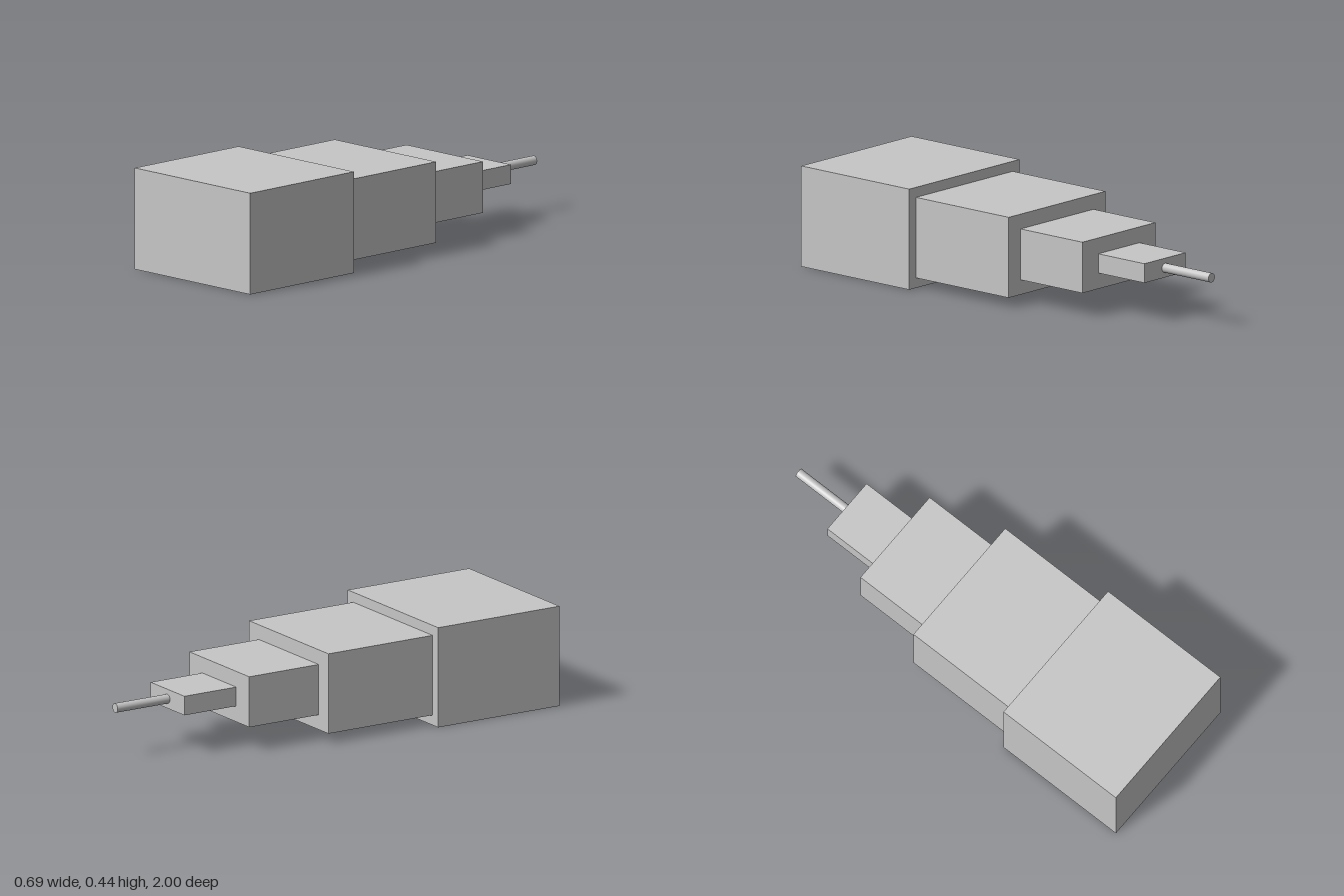
import * as THREE from 'three';

export function createModel() {
  const model = new THREE.Group();
  model.name = 'steppedBody';
  const grey = new THREE.MeshStandardMaterial({ color: 0xc6c6c6 });
  grey.name = 'lightGrey';
  const axisY = 0.2175;

  const add = (name, geometry, front, back) => {
    const mesh = new THREE.Mesh(geometry, grey);
    mesh.name = name;
    mesh.position.set(0, axisY, (front + back) / 2);
    model.add(mesh);
  };

  // Four blocks stepping down towards the back: name, width, height, front z, back z
  const blocks = [
    ['baseBlock', 0.695, 0.435, 1, 0.392],
    ['secondBlock', 0.61, 0.348, 0.392, -0.13],
    ['thirdBlock', 0.46, 0.22, -0.13, -0.478],
    ['endBlock', 0.26, 0.083, -0.478, -0.738],
  ];
  for (const [name, width, height, front, back] of blocks) {
    add(name, new THREE.BoxGeometry(width, height, front - back), front, back);
  }

  // Thin round rod at the tip
  const rod = new THREE.CylinderGeometry(0.02, 0.02, 0.262, 32);
  rod.rotateX(Math.PI / 2);
  add('tipRod', rod, -0.738, -1);

  return model;
}
